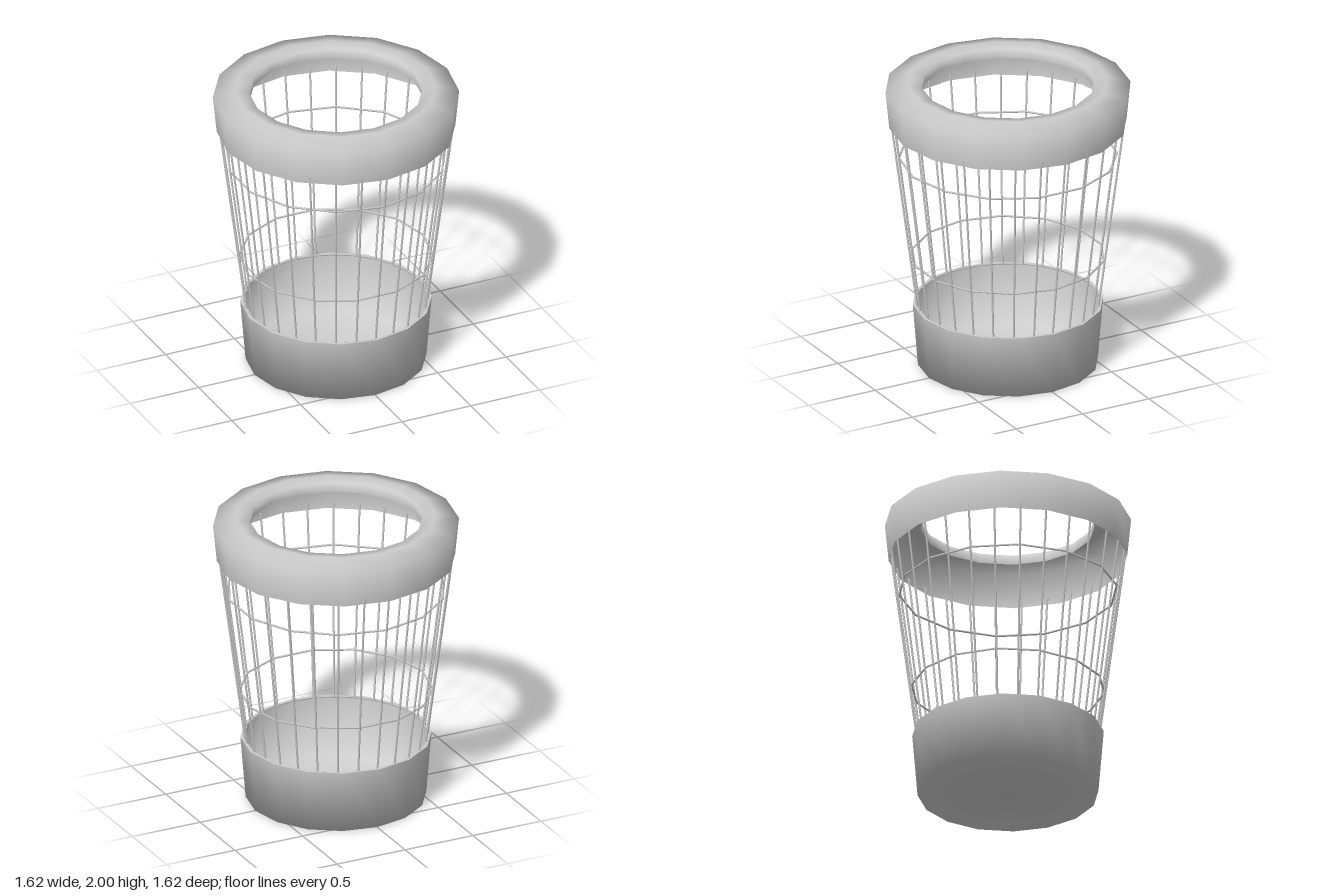
import * as THREE from 'three';

const material = new THREE.MeshStandardMaterial({ color: 0xcccccc, side: THREE.DoubleSide });

// Thin turned shell with a 16-sided outline
function shell(name, profile) {
  const points = profile.map(([r, y]) => new THREE.Vector2(r, y));
  const mesh = new THREE.Mesh(new THREE.LatheGeometry(points, 16), material);
  mesh.name = name;
  return mesh;
}

// Horizontal wire hoop
function hoop(name, radius, y, segments, turn = 0) {
  const mesh = new THREE.Mesh(new THREE.TorusGeometry(radius, 0.007, 5, segments), material);
  mesh.name = name;
  mesh.rotation.set(Math.PI / 2, 0, turn);
  mesh.position.y = y;
  return mesh;
}

export function createModel() {
  const bin = new THREE.Group();
  bin.name = 'wireWasteBin';

  // Solid cup at the bottom, with a narrow lip turned inwards
  bin.add(shell('base', [[0, 0], [0.595, 0], [0.63, 0.43]]));
  bin.add(shell('baseLip', [[0.63, 0.43], [0.608, 0.43]]));

  // Hollow collar around the mouth, open underneath
  bin.add(shell('rim', [[0.785, 1.705], [0.81, 1.96], [0.66, 2], [0.57, 1.985], [0.57, 1.92]]));

  // Upright wires leaning outwards
  const wires = new THREE.Group();
  wires.name = 'uprightWires';
  const count = 28;
  const up = new THREE.Vector3(0, 1, 0);
  for (let i = 0; i < count; i++) {
    const a = (i / count) * Math.PI * 2;
    const bottom = new THREE.Vector3(0.6 * Math.sin(a), 0.42, 0.6 * Math.cos(a));
    const top = new THREE.Vector3(0.772 * Math.sin(a), 1.75, 0.772 * Math.cos(a));
    const along = top.clone().sub(bottom);
    const wire = new THREE.Mesh(new THREE.CylinderGeometry(0.007, 0.007, along.length(), 5), material);
    wire.name = 'uprightWire';
    wire.position.copy(bottom).add(top).multiplyScalar(0.5);
    wire.quaternion.setFromUnitVectors(up, along.normalize());
    wires.add(wire);
  }
  bin.add(wires);

  // Hoops binding the wires
  bin.add(hoop('baseHoop', 0.61, 0.425, 28));
  bin.add(hoop('lowerHoop', 0.636, 0.755, 14));
  bin.add(hoop('upperHoop', 0.718, 1.47, 14, Math.PI / 14));

  return bin;
}
